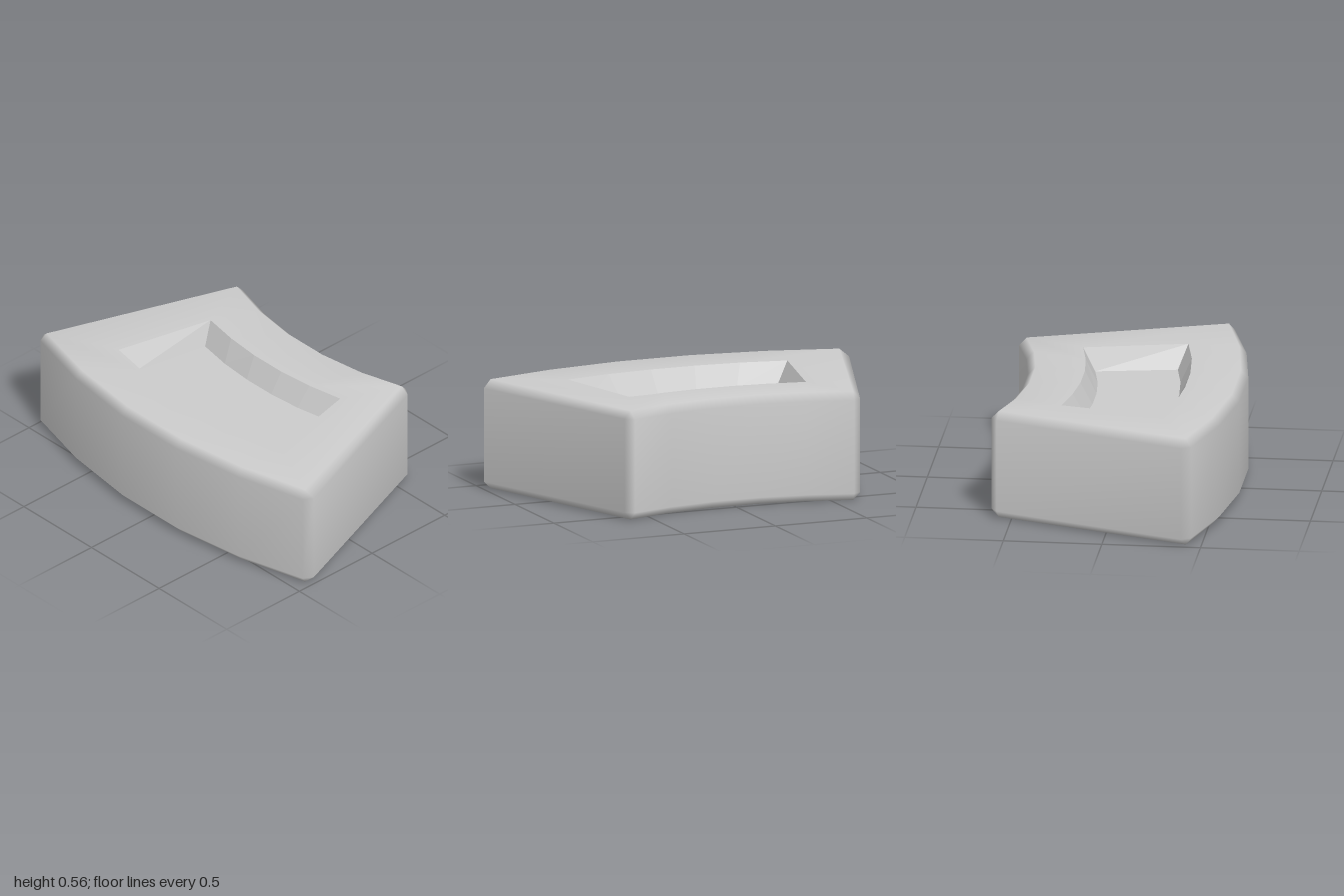
import * as THREE from 'three';
import { mergeVertices } from 'three/addons/utils/BufferGeometryUtils.js';

// Half outlines [x, z], mirrored in z: outer arc, front corner, inner arc
const OUTER = [[-0.605, 0.2], [-0.55, 0.6], [-0.45, 0.97], [-0.4, 1], [0.575, 0.645], [0.605, 0.6], [0.54, 0.37], [0.505, 0.13]];
const INSET = [[-0.567, 0.2], [-0.515, 0.59], [-0.42, 0.955], [-0.42, 0.955], [0.567, 0.61], [0.567, 0.61], [0.502, 0.38], [0.467, 0.13]];
const OPENING = [[-0.32, 0.12], [-0.3, 0.36], [-0.255, 0.6], [-0.255, 0.6], [0.265, 0.48], [0.265, 0.48], [0.23, 0.29], [0.212, 0.1]];
const FLOOR = [[-0.265, 0.105], [-0.247, 0.32], [-0.21, 0.525], [-0.21, 0.525], [0.2, 0.45], [0.2, 0.45], [0.167, 0.27], [0.152, 0.09]];
// Matching points on the outer and inner arcs, from front to back
const ROWS = [[2, 5], [1, 6], [0, 7], [15, 8], [14, 9], [13, 10]];
const HEIGHT = 0.56, BEVEL = 0.04, DEPTH = 0.115;

function ring(half, y) {
  const back = half.map(([x, z]) => [x, -z]).reverse();
  return [...half, ...back].map(([x, z]) => new THREE.Vector3(x, y, z));
}

function geometryFrom(points) {
  const g = new THREE.BufferGeometry().setFromPoints(points);
  return g;
}

// Triangles of a quad, dropping those collapsed at sharp corners
function quad(a, b, c, d) {
  return [[a, b, c], [a, c, d]]
    .filter(([p, q, r]) => !p.equals(q) && !q.equals(r) && !r.equals(p))
    .flat();
}

function loft(rings) {
  const out = [];
  for (let i = 0; i < rings.length - 1; i++) {
    const lo = rings[i], hi = rings[i + 1], n = lo.length;
    for (let j = 0; j < n; j++) {
      const k = (j + 1) % n;
      out.push(...quad(lo[j], lo[k], hi[k], hi[j]));
    }
  }
  return out;
}

function cap(r, facingUp) {
  const out = [];
  for (let i = 0; i < ROWS.length - 1; i++) {
    const [l0, r0] = ROWS[i], [l1, r1] = ROWS[i + 1];
    const corners = [r[l0], r[r0], r[r1], r[l1]];
    out.push(...quad(...(facingUp ? corners : corners.reverse())));
  }
  // The bevelled corners of the bottom may have two points each
  return out;
}

export function createModel() {
  const group = new THREE.Group();
  group.name = 'curvedBlock';
  const grey = new THREE.MeshStandardMaterial({ color: 0xcccccc });
  grey.name = 'lightGrey';

  const add = (name, points, smooth) => {
    let g = geometryFrom(points);
    if (smooth) g = mergeVertices(g, 1e-4);
    g.computeVertexNormals();
    const mesh = new THREE.Mesh(g, grey);
    mesh.name = name;
    group.add(mesh);
  };

  // Bevelled body with the open rim on top, smooth over its edges
  const bottom = ring(INSET, 0);
  const opening = ring(OPENING, HEIGHT);
  add('body', [
    ...cap(bottom, false),
    ...loft([bottom, ring(OUTER, BEVEL), ring(OUTER, HEIGHT - BEVEL), ring(INSET, HEIGHT), opening]),
  ], true);

  // Sloping walls and flat floor of the recess
  const floor = ring(FLOOR, HEIGHT - DEPTH);
  add('recessWalls', loft([opening, floor]), false);
  add('recessFloor', cap(floor, true), false);

  return group;
}
